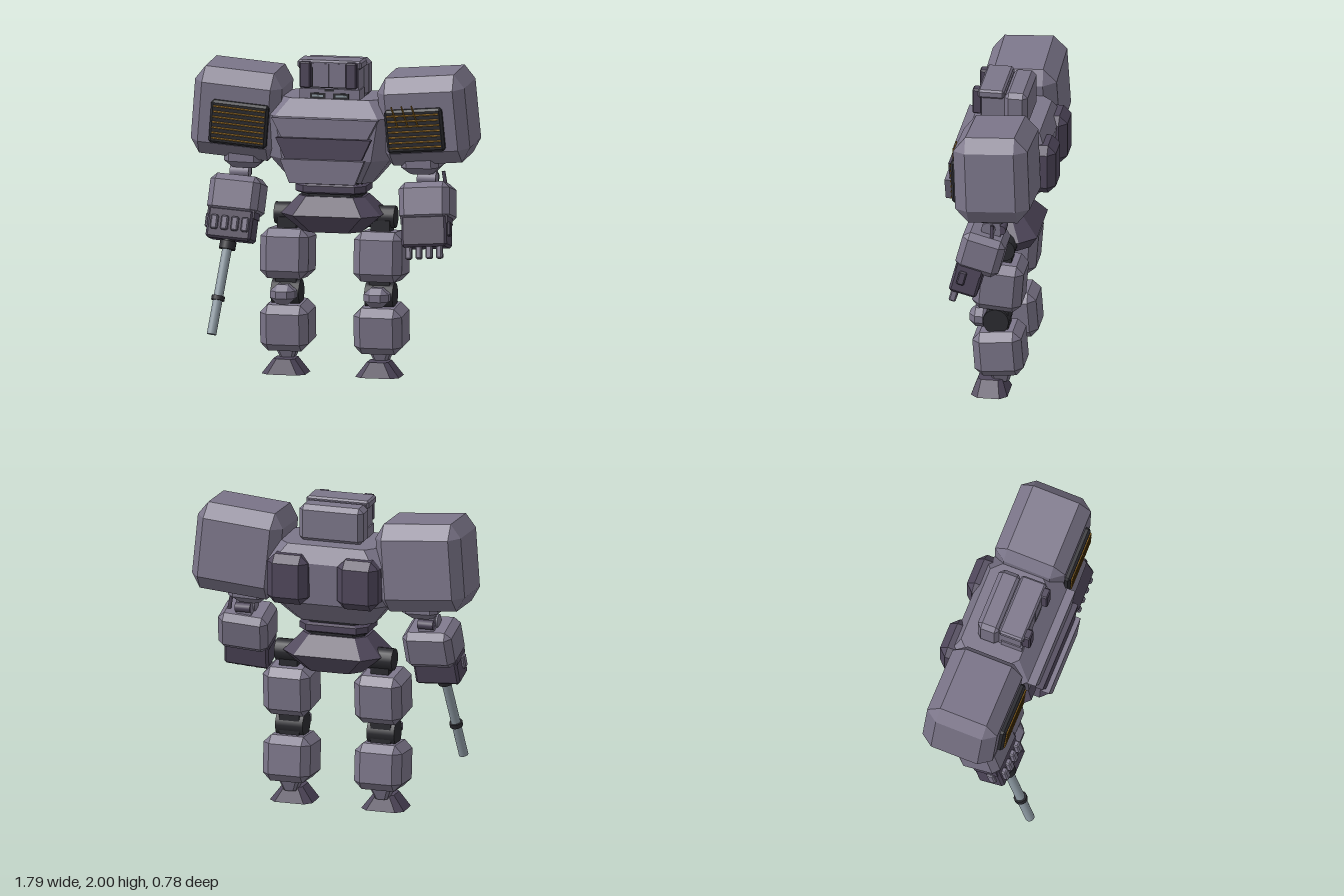
import * as THREE from 'three';
import { ConvexGeometry } from 'three/addons/geometries/ConvexGeometry.js';

const V = (x, y, z) => new THREE.Vector3(x, y, z);
const material = (name, color) => {
  const m = new THREE.MeshStandardMaterial({ color });
  m.name = name;
  return m;
};

export function createModel() {
  const armor = material('armorGrey', 0x7c768a);
  const dark = material('darkPlum', 0x50485c);
  const black = material('jointBlack', 0x2c2c31);
  const gold = material('gold', 0x9c6f22);
  const steel = material('steel', 0x8f9ca5);
  const model = new THREE.Group();
  model.name = 'robot';

  const add = (parent, name, geo, mat, p = [0, 0, 0], r = [0, 0, 0]) => {
    const m = new THREE.Mesh(geo, mat);
    m.name = name;
    m.position.set(...p);
    m.rotation.set(...r);
    parent.add(m);
    return m;
  };
  const group = (parent, name, p, r = [0, 0, 0]) => {
    const g = new THREE.Group();
    g.name = name;
    g.position.set(...p);
    g.rotation.set(...r);
    parent.add(g);
    return g;
  };
  const box = (w, h, d) => new THREE.BoxGeometry(w, h, d);

  // Box with every edge and corner bevelled
  const bevelBox = (w, h, d, bx, by = bx, bz = bx) => {
    const pts = [];
    const a = w / 2, b = h / 2, c = d / 2;
    for (const x of [-1, 1]) for (const y of [-1, 1]) for (const z of [-1, 1]) {
      pts.push(V(x * a, y * (b - by), z * (c - bz)));
      pts.push(V(x * (a - bx), y * b, z * (c - bz)));
      pts.push(V(x * (a - bx), y * (b - by), z * c));
    }
    return new ConvexGeometry(pts);
  };
  // Hull through stacked octagons: [y, half width, back z, front z, corner cut]
  const stack = (...sections) => new ConvexGeometry(sections.flatMap(([y, x, z0, z1, k]) =>
    [-1, 1].flatMap(s => [V(s * x, y, z0 + k), V(s * (x - k), y, z0),
      V(s * x, y, z1 - k), V(s * (x - k), y, z1)])));
  // Cylinder between two points
  const rod = (parent, name, p, q, r, mat, sides = 16) => {
    const a = V(...p), b = V(...q), dir = b.clone().sub(a);
    const m = add(parent, name, new THREE.CylinderGeometry(r, r, dir.length(), sides), mat);
    m.position.copy(a).add(b).multiplyScalar(0.5);
    m.quaternion.setFromUnitVectors(V(0, 1, 0), dir.normalize());
    return m;
  };

  // Torso
  add(model, 'torso', stack([1.225, 0.26, -0.15, 0.1, 0.06], [1.38, 0.385, -0.31, 0.19, 0.1],
    [1.65, 0.4, -0.335, 0.2, 0.07], [1.755, 0.31, -0.28, 0.11, 0.06]), armor);

  // Overlapping tapered chest plates
  [[1.65, 1.5, 0.34, 0.26, 0.18, 0.255, armor], [1.53, 1.38, 0.305, 0.235, 0.17, 0.288, dark],
    [1.4, 1.25, 0.27, 0.21, 0.14, 0.318, armor]].forEach(([top, bottom, wt, wb, z0, z1, mat], i) => {
    const shape = new THREE.Shape([new THREE.Vector2(-wb, bottom), new THREE.Vector2(wb, bottom),
      new THREE.Vector2(wt, top), new THREE.Vector2(-wt, top)]);
    const depth = i ? 0.05 : z1 - z0;
    add(model, 'chestPlate', new THREE.ExtrudeGeometry(shape, { depth, bevelEnabled: false }),
      mat, [0, 0, z1 - depth]);
  });
  // Filler behind the lower plates
  add(model, 'chestCore', box(0.4, 0.15, 0.12), armor, [0, 1.42, 0.2]);

  // Back packs
  for (const s of [-1, 1])
    add(model, 'backPack', bevelBox(0.27, 0.32, 0.18, 0.05, 0.05, 0.05), dark, [0.23 * s, 1.54, -0.305]);

  // Head
  const head = group(model, 'head', [0, 0, 0]);
  add(head, 'headBack', bevelBox(0.42, 0.24, 0.15, 0.03, 0.03, 0.03), armor, [0, 1.865, -0.12]);
  add(head, 'headFront', box(0.37, 0.23, 0.15), armor, [0, 1.865, 0.02]);
  add(head, 'crown', bevelBox(0.41, 0.055, 0.165, 0.012), armor, [0, 1.9725, 0.035]);
  add(head, 'jaw', box(0.385, 0.065, 0.14), armor, [0, 1.785, 0.035]);
  add(head, 'browLine', box(0.06, 0.012, 0.02), black, [0, 1.81, 0.1]);
  for (const s of [-1, 1]) {
    add(head, 'visorPost', bevelBox(0.07, 0.165, 0.06, 0.008), dark, [0.147 * s, 1.91, 0.125]);
    add(head, 'visorPanel', box(0.105, 0.15, 0.02), armor, [0.054 * s, 1.905, 0.11]);
    add(head, 'eyeFrame', box(0.1, 0.035, 0.008), black, [0.075 * s, 1.775, 0.108]);
    add(head, 'eye', box(0.07, 0.012, 0.008), steel, [0.075 * s, 1.775, 0.111]);
  }
  add(head, 'visorGap', box(0.23, 0.16, 0.01), black, [0, 1.905, 0.103]);

  // Waist and pelvis
  add(model, 'waistCore', stack([1.1, 0.19, -0.15, 0.1, 0.06], [1.23, 0.2, -0.15, 0.1, 0.06]), black);
  add(model, 'waistRing', stack([1.155, 0.21, -0.165, 0.12, 0.06], [1.165, 0.225, -0.18, 0.13, 0.06],
    [1.205, 0.225, -0.18, 0.13, 0.06], [1.215, 0.21, -0.165, 0.12, 0.06]), dark);
  add(model, 'pelvis', stack([0.91, 0.19, -0.2, 0.12, 0.07], [1.02, 0.32, -0.26, 0.18, 0.1],
    [1.135, 0.21, -0.16, 0.11, 0.06]), dark);

  for (const s of [-1, 1]) {
    // Leg
    const leg = group(model, s > 0 ? 'leftLeg' : 'rightLeg', [0.3 * s, 0, 0]);
    rod(leg, 'hipAxle', [-0.12, 0.995, -0.075], [0.12, 0.995, -0.075], 0.07, black, 16)
      .position.x = -0.035 * s;
    add(leg, 'hipJoint', box(0.12, 0.12, 0.12), black, [0, 0.92, -0.06]);
    add(leg, 'thigh', bevelBox(0.31, 0.315, 0.31, 0.05), armor, [0, 0.75, -0.042], [-0.08, 0, 0]);
    rod(leg, 'kneeAxle', [-0.09, 0.505, -0.025], [0.09, 0.505, -0.025], 0.082, black, 16);
    add(leg, 'kneeLink', box(0.13, 0.22, 0.12), black, [0, 0.51, -0.04]);
    add(leg, 'kneePad', bevelBox(0.16, 0.125, 0.13, 0.045, 0.04, 0.04), armor, [0, 0.507, 0.085]);
    add(leg, 'shin', bevelBox(0.31, 0.295, 0.31, 0.05), armor, [0, 0.295, -0.042], [0.08, 0, 0]);
    add(leg, 'ankle', stack([0.08, 0.04, -0.1, 0.0, 0.015], [0.17, 0.075, -0.13, 0.03, 0.02]), armor);
    add(leg, 'foot', stack([0, 0.14, -0.1, 0.13, 0.045], [0.095, 0.068, -0.06, 0.095, 0.025]), dark);

    // Shoulder with grille
    const arm = group(model, s > 0 ? 'leftArm' : 'rightArm', [0, 0, 0]);
    const shoulder = group(arm, 'shoulder', [0.6 * s, 1.648, -0.066], [0.05, 0, 0.085 * s]);
    add(shoulder, 'shoulderBlock', bevelBox(0.56, 0.56, 0.47, 0.06, 0.09, 0.08), armor);
    const grille = group(shoulder, 'grille', [-0.04 * s, -0.045, 0.245]);
    add(grille, 'grilleFrame', bevelBox(0.37, 0.275, 0.05, 0.015), black);
    for (let i = -3; i <= 3; i++)
      rod(grille, 'grilleBar', [-0.165, i * 0.034, 0.028], [0.165, i * 0.034, 0.028], 0.006, gold, 6);
    if (s > 0) for (let i = 0; i < 3; i++)
      rod(grille, 'looseBar', [-0.1 + i * 0.065, 0.03, 0.034], [-0.13 + i * 0.065, 0.165, 0.034], 0.005, gold, 6);

    // Elbow
    add(arm, 'armSocket', stack([1.29, 0.075, -0.12, 0.05, 0.03], [1.335, 0.12, -0.175, 0.1, 0.04],
      [1.4, 0.12, -0.175, 0.1, 0.04]), armor, [0.595 * s, 0, 0], [0, 0, 0.02 * s]);
    add(arm, 'elbowLink', box(0.1, 0.14, 0.09), armor, [0.6 * s, 1.27, -0.05]);
    rod(arm, 'elbowAxle', [0.54 * s, 1.255, -0.02], [0.66 * s, 1.255, -0.02], 0.045, armor, 12);
    rod(arm, 'elbowRearAxle', [0.55 * s, 1.25, -0.1], [0.65 * s, 1.25, -0.1], 0.03, dark, 12);
    if (s > 0) rod(arm, 'elbowPin', [0.71, 1.21, -0.05], [0.695, 1.3, -0.05], 0.012, dark, 8);

    // Forearm and hand
    const fore = group(arm, 'forearm', [0.61 * s, 1.105, 0.02], [-0.26, 0, 0.07 * s]);
    add(fore, 'forearmBlock', bevelBox(0.325, 0.25, 0.28, 0.04), armor);
    const hand = group(fore, 'hand', [0, -0.185, 0.04]);
    add(hand, 'palm', bevelBox(0.29, 0.2, 0.18, 0.015), dark);
    add(hand, 'cuff', box(0.3, 0.05, 0.16), dark, [0, 0.07, 0]);
    for (let i = 0; i < 4; i++) {
      const x = (-0.105 + i * 0.066) * s;
      if (s > 0) add(hand, 'finger', bevelBox(0.04, 0.1, 0.045, 0.008), armor, [x, -0.125, 0.05]);
      else add(hand, 'finger', bevelBox(0.045, 0.09, 0.04, 0.008), armor, [x, 0.0, 0.1]);
    }
    add(hand, 'thumb', bevelBox(0.03, 0.09, 0.05, 0.008), s > 0 ? dark : armor, [0.15 * s, 0.01, 0.03]);
  }

  // Baton held in the right hand
  const baton = group(model, 'baton', [0, 0, 0]);
  const top = V(-0.635, 0.82, 0.18), tip = V(-0.698, 0.28, 0.358);
  const at = t => top.clone().lerp(tip, t).toArray();
  rod(baton, 'handle', at(-0.3), at(0.03), 0.04, black, 12);
  rod(baton, 'guard', at(-0.04), at(0.05), 0.052, black, 12);
  rod(baton, 'shaft', at(0), at(1), 0.03, steel, 20);
  rod(baton, 'collar', at(0.57), at(0.62), 0.042, black, 16);

  return model;
}
